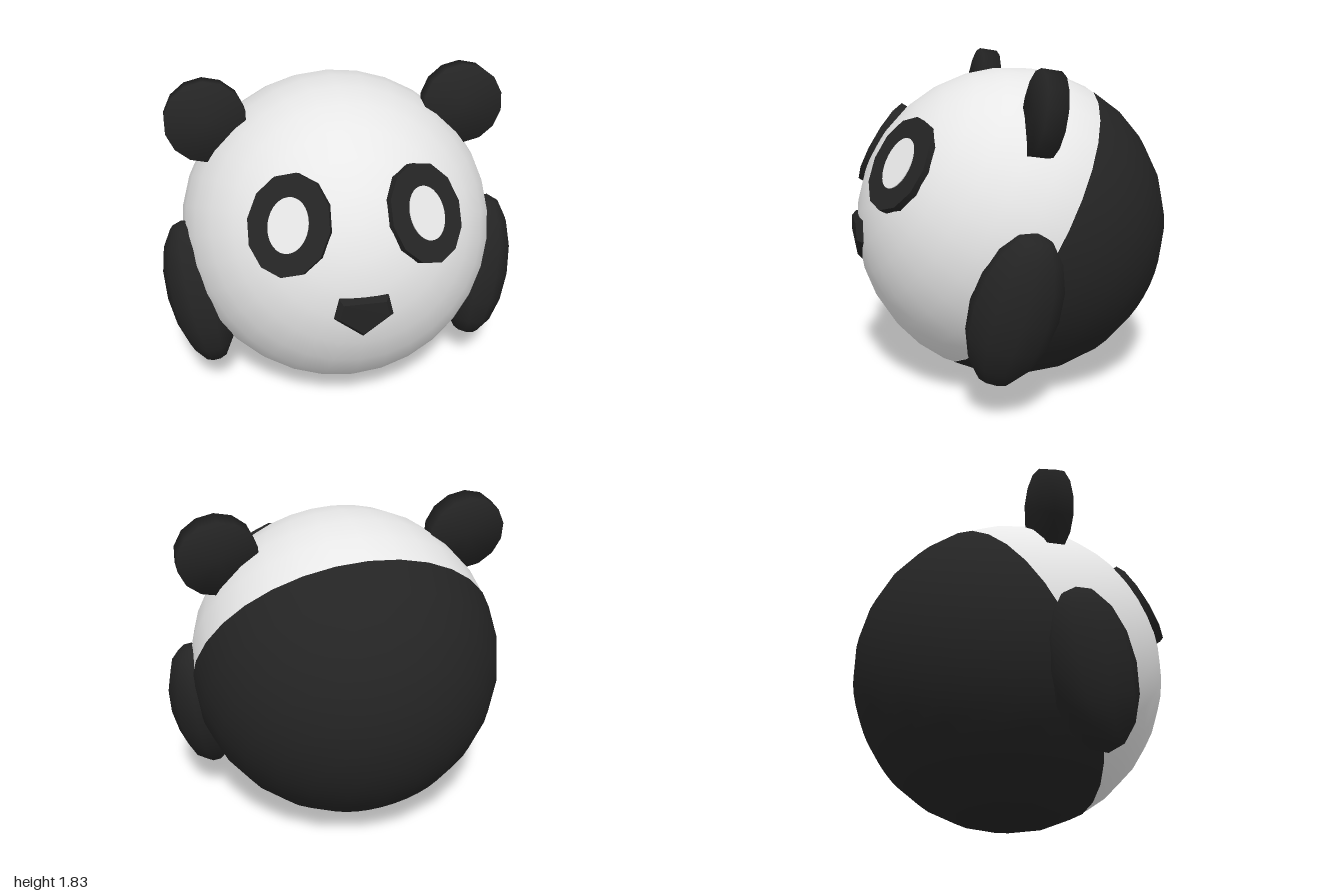
import * as THREE from 'three';
import { mergeVertices } from 'three/addons/utils/BufferGeometryUtils.js';

const CENTER = new THREE.Vector3(0, 0.89, -0.01);
const RADIUS = 0.887;

export function createModel() {
  const model = new THREE.Group();
  const white = new THREE.MeshStandardMaterial({ color: 0xeeeeee });
  white.name = 'softWhite';
  const black = new THREE.MeshStandardMaterial({ color: 0x242424 });
  black.name = 'charcoalBlack';

  const add = (name, geometry, material, parent = model) => {
    const mesh = new THREE.Mesh(geometry, material);
    mesh.name = name;
    parent.add(mesh);
    return mesh;
  };

  // Disc facing +z, optionally with normals shared around the rim
  const disc = (radius, depth, sides, smooth = false) => {
    let g = new THREE.CylinderGeometry(radius, radius, depth, sides).rotateX(Math.PI / 2);
    if (smooth) {
      g.deleteAttribute('normal');
      g.deleteAttribute('uv');
      g = mergeVertices(g);
      g.computeVertexNormals();
    }
    return g;
  };

  // Ball body: two hemispheres split by a tilted plane
  const body = new THREE.Group();
  body.name = 'body';
  body.position.copy(CENTER);
  body.rotation.x = Math.PI / 3;
  model.add(body);
  add('whiteFrontHalf', new THREE.SphereGeometry(RADIUS - 0.003, 32, 8, 0, Math.PI * 2, 0, Math.PI / 2), white, body);
  add('blackBackHalf', new THREE.SphereGeometry(RADIUS, 32, 7, 0, Math.PI * 2, Math.PI / 2, Math.PI / 2), black, body);

  for (const s of [1, -1]) {
    const side = s > 0 ? 'left' : 'right';

    // Round disc ears, leaning back
    const ear = add(side + 'Ear', disc(0.222, 0.108, 14, true), black);
    ear.position.set(s * 0.71, 1.605, -0.008);
    ear.rotation.x = -0.165;

    // Flipper arms
    const arm = add(side + 'Arm', new THREE.SphereGeometry(1, 10, 8).scale(0.185, 0.435, 0.24), black);
    arm.position.set(s * 0.815, 0.62, 0.17);
    arm.rotation.set(-0.24, 0, -s * 0.16);

    // Oval eye patch lying on the ball, with a thin white centre
    const eye = new THREE.Group();
    eye.name = side + 'Eye';
    const dir = new THREE.Vector3(s * 0.355, 0.43, 0.69).normalize();
    eye.position.copy(CENTER).addScaledVector(dir, 0.89);
    eye.lookAt(eye.position.clone().add(dir));
    model.add(eye);
    add(side + 'EyePatch', disc(1, 0.05, 12).scale(0.22, 0.266, 1).translate(0, 0, -0.025), black, eye);
    add(side + 'EyeCentre', disc(1, 0.006, 32).scale(0.107, 0.143, 1).translate(0, 0, 0.002), white, eye);
  }

  // Faceted nose: bevelled pentagon whose tip slopes back to the ball
  const shape = new THREE.Shape([
    [-0.11, 0.947], [-0.13, 0.86], [0, 0.745], [0.13, 0.86], [0.11, 0.947],
  ].map(([x, y]) => new THREE.Vector2(x, y)));
  const noseGeometry = new THREE.ExtrudeGeometry(shape, {
    depth: 0.09, bevelEnabled: true, bevelSize: 0.022, bevelThickness: 0.025, bevelSegments: 1,
  }).translate(0, 0, 0.78);
  const p = noseGeometry.attributes.position;
  for (let i = 0; i < p.count; i++) {
    if (p.getY(i) < 0.8) p.setZ(i, p.getZ(i) - 0.015);
  }
  noseGeometry.computeVertexNormals();
  add('nose', noseGeometry, black);

  return model;
}
